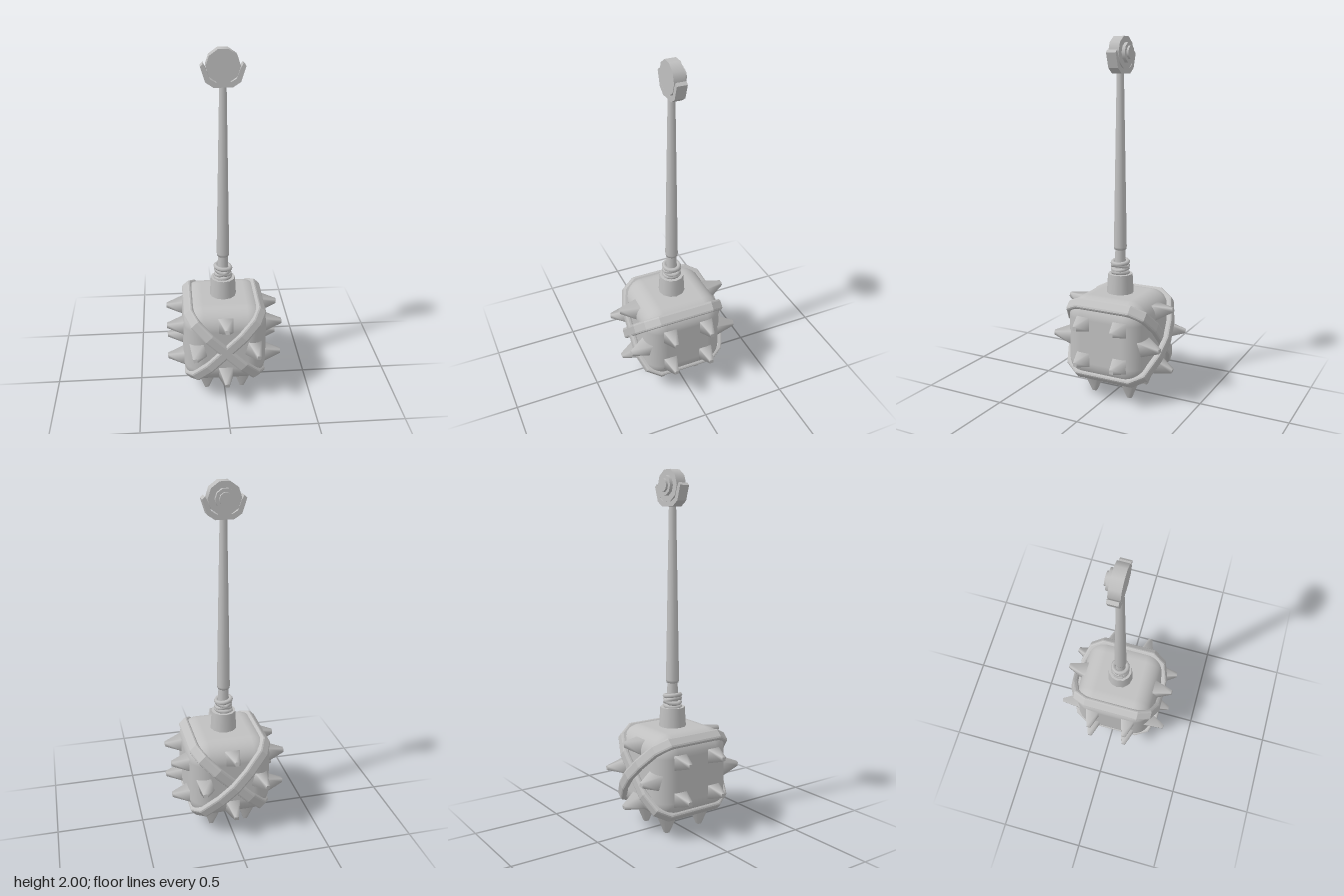
import * as THREE from 'three';
import { RoundedBoxGeometry } from 'three/addons/geometries/RoundedBoxGeometry.js';

export function createModel() {
  const model = new THREE.Group();
  const metal = new THREE.MeshStandardMaterial({ color: 0xc0c0c0 });
  const CY = 0.34; // height of the head's centre

  const add = (name, geometry, x = 0, y = 0, z = 0) => {
    const mesh = new THREE.Mesh(geometry, metal);
    mesh.name = name;
    mesh.position.set(x, y, z);
    model.add(mesh);
    return mesh;
  };

  // Head block
  add('head', new RoundedBoxGeometry(0.48, 0.48, 0.485, 5, 0.115), 0, CY, 0);

  // Diagonal straps: bevelled rings, one bowed outwards at the back
  const strap = (name, angle, bowed) => {
    const front = [[0.308, 0.165], [0.254, 0.243], [0.14, 0.279], [-0.14, 0.279], [-0.254, 0.243], [-0.308, 0.165]];
    const back = bowed
      ? [[-0.308, -0.17], [-0.254, -0.25], [-0.12, -0.297], [0, -0.313], [0.12, -0.297], [0.254, -0.25], [0.308, -0.17]]
      : [[-0.308, -0.165], [-0.254, -0.243], [-0.14, -0.279], [0.14, -0.279], [0.254, -0.243], [0.308, -0.165]];
    const points = [...front, ...back].map(([d, z]) => new THREE.Vector2(d, z));
    const shape = new THREE.Shape(points);
    shape.holes.push(new THREE.Path(points.map((p) => p.clone().multiplyScalar(0.885))));
    const geometry = new THREE.ExtrudeGeometry(shape, {
      depth: 0.04, bevelSize: 0.011, bevelThickness: 0.012, bevelOffset: -0.011, bevelSegments: 2,
    });
    geometry.translate(0, 0, -0.02).rotateX(Math.PI / 2).rotateZ(angle);
    add(name, geometry, 0, CY, 0);
  };
  strap('strapRising', Math.PI / 4, false);
  strap('strapFalling', -Math.PI / 4, true);

  // Blunt four-sided spikes, from base point to tip (relative to head centre)
  const spike = (name, base, tip) => {
    const from = new THREE.Vector3(...base), to = new THREE.Vector3(...tip);
    const dir = to.clone().sub(from);
    const geometry = new THREE.CylinderGeometry(0.016, 0.064, dir.length(), 4);
    geometry.rotateY(Math.PI / 4);
    const mid = from.add(to).multiplyScalar(0.5);
    const mesh = add(name, geometry, mid.x, mid.y + CY, mid.z);
    mesh.quaternion.setFromUnitVectors(new THREE.Vector3(0, 1, 0), dir.normalize());
  };
  for (const s of [1, -1]) {
    for (const [x, y] of [[0, 1], [0, -1], [1, 0], [-1, 0]]) {
      spike(s > 0 ? 'frontSpike' : 'backSpike',
        [x * 0.155, y * 0.155, s * 0.22], [x * 0.18, y * 0.18, s * 0.331]);
    }
    for (const z of [0.11, -0.115]) {
      for (const y of [0.103, -0.105]) {
        spike(s > 0 ? 'leftSpike' : 'rightSpike', [s * 0.22, y, z], [s * 0.332, y, z]);
      }
      spike('bottomSpike', [s * 0.105, -0.23, z], [s * 0.105, -0.34, z]);
    }
  }

  // Neck socket and core
  add('neckSocket', new THREE.CylinderGeometry(0.07, 0.078, 0.13, 12), 0, 0.625, 0);
  add('neckCore', new THREE.CylinderGeometry(0.028, 0.036, 0.17, 10), 0, 0.755, 0);

  // Crossed binding around the neck
  for (const [y, tilt] of [[0.697, 0.12], [0.728, 0.4], [0.728, -0.4], [0.756, -0.15]]) {
    const ring = new THREE.TorusGeometry(0.043, 0.013, 6, 14);
    ring.rotateX(Math.PI / 2).rotateZ(tilt);
    add('binding', ring, 0, y, 0);
  }

  // Tapered handle
  const profile = [[0, 0.83], [0.034, 0.83], [0.037, 0.845], [0.02, 1.81], [0, 1.81]];
  add('handle', new THREE.LatheGeometry(profile.map((p) => new THREE.Vector2(...p)), 10));

  // Pommel disc with a stepped boss on the back
  const disc = (name, radius, z0, z1, sides) => {
    const geometry = new THREE.CylinderGeometry(radius, radius, z1 - z0, sides);
    geometry.rotateY(Math.PI / sides).rotateX(Math.PI / 2);
    add(name, geometry, 0, 1.914, (z0 + z1) / 2);
  };
  disc('pommelDisc', 0.09, -0.036, 0.026, 10);
  disc('pommelStep', 0.055, -0.055, -0.03, 10);
  disc('pommelBoss', 0.036, -0.067, -0.05, 10);

  // Cradle holding the pommel
  const right = [[0.05, 1.804], [0.092, 1.832], [0.118, 1.912], [0.103, 1.926], [0.088, 1.9], [0.07, 1.85], [0.04, 1.832]];
  const left = right.map(([x, y]) => [-x, y]).reverse();
  const cradle = new THREE.ExtrudeGeometry(
    new THREE.Shape([...right, ...left].map((p) => new THREE.Vector2(...p))),
    { depth: 0.058, bevelEnabled: false });
  add('pommelCradle', cradle, 0, 0, -0.034);

  return model;
}
